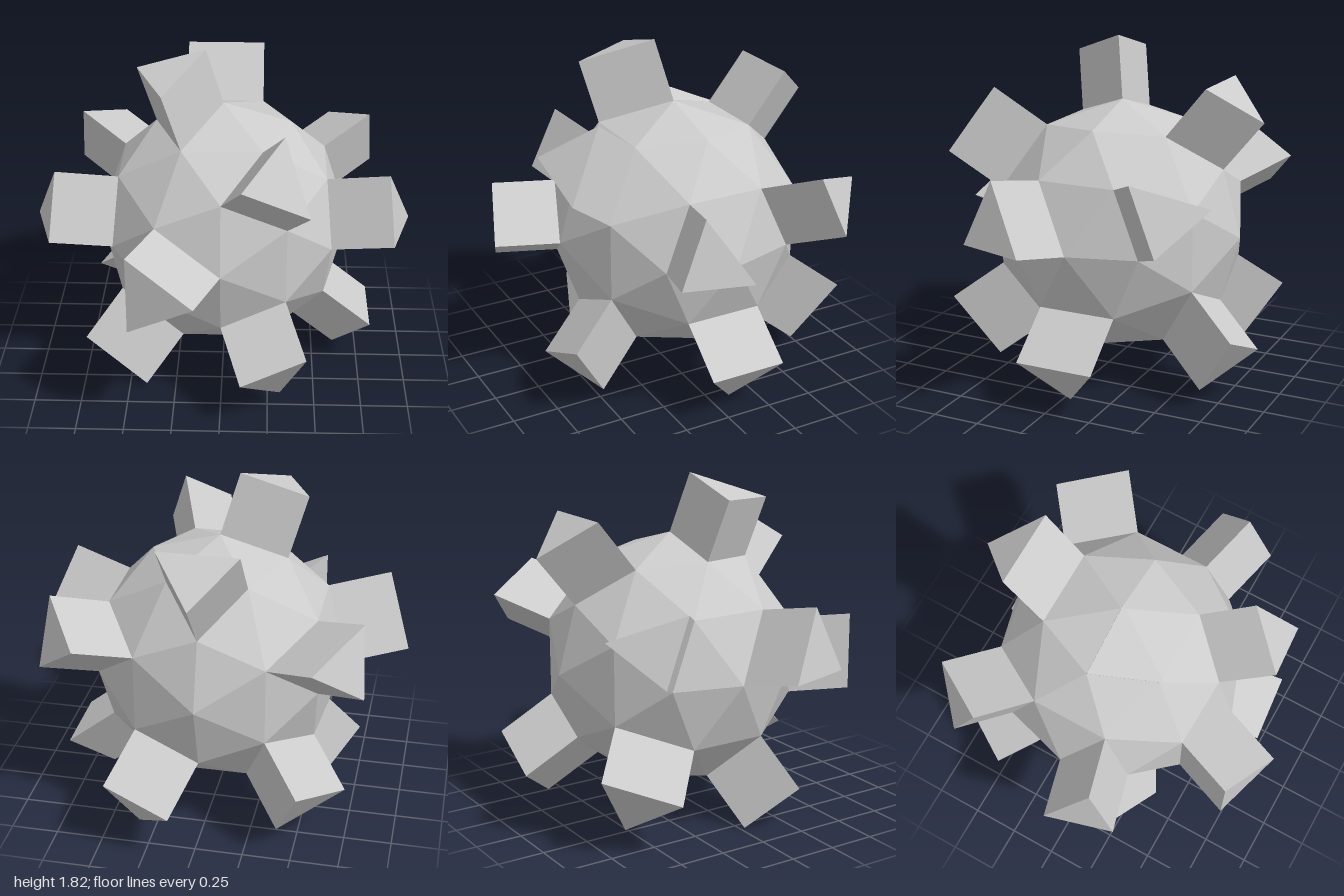
import * as THREE from 'three';

const RADIUS = 0.675, HEIGHT = 0.3375;
const CENTRE = new THREE.Vector3(0, 0.84, -0.08);

// Directions of the ball facets that grow into three-sided blocks
const BLOCKS = [
  [-0.33, 0, 0.87], [-0.28, 0.89, 0.17], [0, 0.71, -0.62], [0.27, 0.55, 0.72],
  [0.89, 0.17, 0.28], [-0.89, 0.17, 0.28], [0.72, 0.27, -0.55], [-0.72, 0.27, -0.55],
  [0.71, -0.62, 0], [0.27, -0.55, 0.72], [-0.55, -0.72, 0.27], [0.27, -0.55, -0.72],
  [-0.54, -0.54, -0.54],
].map((d) => new THREE.Vector3(...d).normalize());

function facetMesh(points, material, name) {
  const geometry = new THREE.BufferGeometry().setFromPoints(points);
  geometry.computeVertexNormals();
  const mesh = new THREE.Mesh(geometry, material);
  mesh.name = name;
  return mesh;
}

// Push a triangle straight out along its normal: cap plus three walls
function extrudeFacet(base) {
  const push = new THREE.Triangle(...base).getNormal(new THREE.Vector3()).multiplyScalar(HEIGHT);
  const top = base.map((p) => p.clone().add(push));
  const points = [...top];
  for (let i = 0; i < 3; i++) {
    const j = (i + 1) % 3;
    points.push(base[i], base[j], top[j], base[i], top[j], top[i]);
  }
  return points;
}

export function createModel() {
  const group = new THREE.Group();
  group.name = 'studdedBall';
  const material = new THREE.MeshStandardMaterial({ color: 0xcccccc, flatShading: true });

  // Facets of a once-divided icosahedron
  const position = new THREE.IcosahedronGeometry(RADIUS, 1).getAttribute('position');
  const facets = [];
  for (let i = 0; i < position.count; i += 3) {
    facets.push([0, 1, 2].map((k) => new THREE.Vector3().fromBufferAttribute(position, i + k)));
  }
  const facing = (facet, dir) => facet.reduce((sum, p) => sum + p.dot(dir), 0) /
    new THREE.Vector3().add(facet[0]).add(facet[1]).add(facet[2]).length();

  // Blocks on the chosen facets
  const raised = new Set();
  BLOCKS.forEach((dir, i) => {
    const facet = facets.reduce((best, f) => (facing(f, dir) > facing(best, dir) ? f : best));
    raised.add(facet);
    group.add(facetMesh(extrudeFacet(facet), material, `block${i + 1}`));
  });

  // Remaining facets form the ball
  group.add(facetMesh(facets.filter((f) => !raised.has(f)).flat(), material, 'ball'));

  group.children.forEach((mesh) => mesh.position.copy(CENTRE));
  return group;
}
